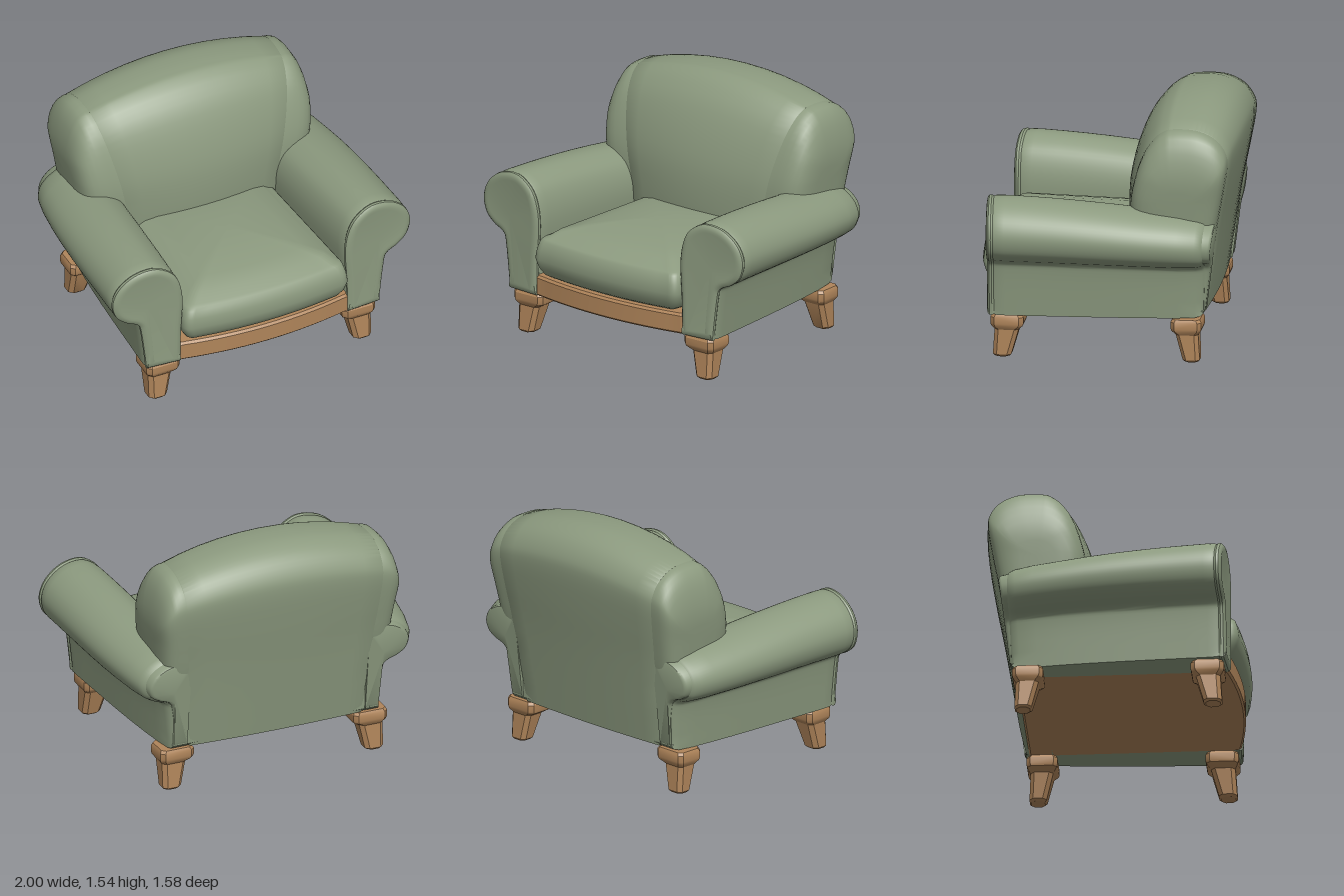
import * as THREE from 'three';
import { toCreasedNormals } from 'three/addons/utils/BufferGeometryUtils.js';

const fabric = new THREE.MeshStandardMaterial({ color: 0x8c9a7f });
fabric.name = 'sage fabric';
const wood = new THREE.MeshStandardMaterial({ color: 0xb0855a });
wood.name = 'warm wood';

// Closed solid through equal-length loops of [x, y, z], capped at both ends.
function loft(rings, crease = 0.6) {
  const n = rings[0].length;
  const pos = rings.flat();
  const idx = [];
  for (let i = 0; i < rings.length - 1; i++) {
    for (let j = 0; j < n; j++) {
      const a = i * n + j, b = i * n + (j + 1) % n;
      idx.push(a, b, b + n, a, b + n, a + n);
    }
  }
  for (const [ring, start, flip] of [[rings[0], 0, true], [rings.at(-1), (rings.length - 1) * n, false]]) {
    const c = pos.length;
    pos.push([0, 1, 2].map((k) => ring.reduce((s, p) => s + p[k], 0) / n));
    for (let j = 0; j < n; j++) {
      const a = start + j, b = start + (j + 1) % n;
      idx.push(c, flip ? b : a, flip ? a : b);
    }
  }
  // Turn the faces outward whichever way the loops run
  let volume = 0;
  const v = pos.map((p) => new THREE.Vector3(...p));
  for (let i = 0; i < idx.length; i += 3) {
    volume += v[idx[i]].dot(new THREE.Vector3().crossVectors(v[idx[i + 1]], v[idx[i + 2]]));
  }
  if (volume < 0) idx.reverse();
  const g = new THREE.BufferGeometry();
  g.setAttribute('position', new THREE.Float32BufferAttribute(pos.flat(), 3));
  g.setIndex(idx);
  return toCreasedNormals(g, crease);
}

function spline(points, n) {
  return new THREE.SplineCurve(points.map((p) => new THREE.Vector2(...p))).getPoints(n);
}

function add(group, name, geometry, material) {
  const mesh = new THREE.Mesh(geometry, material);
  mesh.name = name;
  group.add(mesh);
}

// Plan outline with a bowed front, as [x, z]
function plan(backX, frontX, backZ, sideZ, bowZ, r) {
  const s = new THREE.Shape();
  s.moveTo(-backX, backZ);
  s.lineTo(-frontX, sideZ - r);
  s.quadraticCurveTo(-frontX, sideZ, -frontX + r, sideZ);
  s.quadraticCurveTo(0, 2 * bowZ - sideZ, frontX - r, sideZ);
  s.quadraticCurveTo(frontX, sideZ, frontX, sideZ - r);
  s.lineTo(backX, backZ);
  return s.getPoints(14);
}

// Stack of outlines: layers of [y, inset]
function stack(outline, layers, cz, half) {
  return layers.map(([y, inset]) => outline.map((p) => {
    const k = 1 - inset / half;
    return [p.x * k, y, cz + (p.y - cz) * k];
  }));
}

// Scroll arm section in x, y
const armProfile = spline([[0.56, 0.27], [0.555, 0.5], [0.545, 0.75], [0.585, 0.91], [0.67, 0.99],
  [0.76, 1.012], [0.87, 0.985], [0.96, 0.91], [0.998, 0.81], [0.975, 0.71], [0.91, 0.65],
  [0.835, 0.612], [0.812, 0.54], [0.78, 0.27]], 64);

function armRing(side, z, inset, lean = 0, minX = 0) {
  const n = armProfile.length;
  return armProfile.map((p, i) => {
    const t = armProfile[(i + 1) % n].clone().sub(armProfile[(i + n - 1) % n]).normalize();
    let x = p.x + t.y * inset;
    let y = p.y - t.x * inset;
    const s = Math.max(0, (0.65 - z) / 1.27);
    const outer = THREE.MathUtils.clamp((x - 0.55) / 0.45, 0, 1);
    x -= (1 - outer) * 0.08 * s + outer * (0.03 * s + 0.08 * s ** 4);
    y -= Math.max(0, y - 0.5) * 0.21 * s ** 1.6;
    const tilt = z > 0.5 ? 0.09 * Math.max(0, x - 0.6) : 0;
    return [side * Math.max(x, minX), y, z - tilt - lean * (y - 0.27)];
  });
}

// Backrest section in z, y, from the front foot over the top to the rear foot
const backProfile = spline([[-0.2, 0.3], [-0.11, 0.6], [-0.09, 0.92], [-0.125, 1.15], [-0.2, 1.355],
  [-0.29, 1.475], [-0.365, 1.525]], 20).concat(
  spline([[-0.385, 1.533], [-0.48, 1.54], [-0.6, 1.528], [-0.71, 1.47], [-0.775, 1.375], [-0.787, 1.27],
    [-0.755, 1.05], [-0.7, 0.75], [-0.622, 0.28]], 32));

function backPoint(p, u) {
  const f = (p.x + 0.45) / 0.35;
  const y = p.y - 0.1 * u * u * Math.max(0, p.y - 0.9) / 0.64;
  const z = p.x - (f > 0 ? 0.065 : 0.035) * u * u * f;
  const front = Math.max(0.5, 0.5 + 0.2 * (y - 0.75));
  const rear = 0.6 + 0.06 * (y - 0.3);
  const w = THREE.MathUtils.lerp(rear, front, THREE.MathUtils.clamp((f + 1) / 2, 0, 1));
  return [u * w, y, z];
}

// Rounded side of the backrest, swelling out from the seam
function wingRing(side, s) {
  const ky = (1 - s ** 2.5) ** 0.4;
  const kz = (1 - s ** 4) ** 0.25;
  return backProfile.map((p) => {
    const [w, y0, z] = backPoint(p, 1);
    const y = Math.max(0.78, y0 > 1 ? 1 + (y0 - 1) * ky : y0);
    const outer = 0.8 - 0.12 * Math.max(0, 1.15 - y);
    const start = w - 0.01;
    return [side * (start + (outer - start) * s), y, -0.45 + (z + 0.45) * kz];
  });
}

// Tapered leg with chamfered corners: levels of [y, xMin, xMax, zMin, zMax]
function legRings(side, levels, dx, zMap) {
  const c = 0.025;
  return levels.map(([y, x0, x1, z0, z1]) => [
    [x0 + c, z0], [x1 - c, z0], [x1, z0 + c], [x1, z1 - c],
    [x1 - c, z1], [x0 + c, z1], [x0, z1 - c], [x0, z0 + c],
  ].map(([x, z]) => [side * (x + dx), y, zMap(z)]));
}

export function createModel() {
  const chair = new THREE.Group();
  chair.name = 'armchair';

  // Wooden base with bowed front rail
  add(chair, 'baseRail', loft(stack(plan(0.57, 0.57, -0.59, 0.7, 0.755, 0.03),
    [[0.27, 0.012], [0.282, 0], [0.385, 0], [0.4, 0.012]], 0.1, 0.65)), wood);

  // Seat cushion with crowned top
  const layers = [[0.405, 0.07], [0.425, 0.04], [0.47, 0.015], [0.53, 0], [0.59, 0.008], [0.64, 0.022],
    [0.655, 0.035], [0.662, 0.055]];
  for (const r of [0.8, 0.6, 0.4, 0.2, 0.03]) layers.push([0.67 + 0.088 * (1 - r * r), 0.54 * (1 - r)]);
  add(chair, 'seatCushion', loft(stack(plan(0.49, 0.555, -0.3, 0.755, 0.793, 0.07), layers, 0.2, 0.54)), fabric);

  // Backrest centre panel
  const stations = [-1, -0.985, -0.8, -0.6, -0.4, -0.2, 0, 0.2, 0.4, 0.6, 0.8, 0.985, 1];
  add(chair, 'backrest', loft(stations.map((u) => backProfile.map((p) => {
    const q = backPoint(p, u);
    const k = Math.abs(u) === 1 ? 0.985 : 1;
    return [q[0], 0.9 + (q[1] - 0.9) * k, -0.45 + (q[2] + 0.45) * k];
  }))), fabric);

  const legLevels = [
    [0, 0.64, 0.735, 0.565, 0.655], [0.012, 0.625, 0.745, 0.553, 0.665],
    [0.17, 0.592, 0.746, 0.508, 0.655], [0.195, 0.55, 0.763, 0.482, 0.674],
    [0.21, 0.545, 0.766, 0.477, 0.678], [0.25, 0.545, 0.766, 0.477, 0.678], [0.268, 0.555, 0.757, 0.487, 0.668],
  ];

  for (const side of [1, -1]) {
    const label = side > 0 ? 'left' : 'right';

    add(chair, label + 'BackrestWing',
      loft([0, 0.2, 0.4, 0.55, 0.7, 0.8, 0.88, 0.94, 0.98, 0.995].map((s) => wingRing(side, s)), 0.8), fabric);

    // Arm: front piping, long roll, rounded rear end
    const sections = [[0.708, 0.05], [0.71, 0.035], [0.706, 0.014], [0.695, 0.002], [0.68, 0], [0.668, 0.007],
      [0.655, 0.002], [0.6, 0], [0.45, 0], [0.3, 0], [0.15, 0], [0, 0], [-0.15, 0], [-0.3, 0], [-0.45, 0],
      [-0.56, 0.003], [-0.595, 0.012], [-0.61, 0.03]];
    add(chair, label + 'Arm',
      loft(sections.map(([z, inset]) => armRing(side, z, inset, z < -0.4 ? 0.04 : 0))), fabric);

    // Upright panel closing the rear of the arm
    add(chair, label + 'ArmRearPanel',
      loft([[-0.52, 0.035], [-0.6, 0.035], [-0.612, 0.042], [-0.617, 0.055]]
        .map(([z, inset]) => armRing(side, z, inset, 0.12, 0.59))), fabric);

    add(chair, label + 'FrontLeg', loft(legRings(side, legLevels, 0, (z) => z), 0.5), wood);
    add(chair, label + 'RearLeg',
      loft(legRings(side, legLevels, -0.015, (z) => -0.605 + (0.678 - z) * 0.93), 0.5), wood);
  }
  return chair;
}
